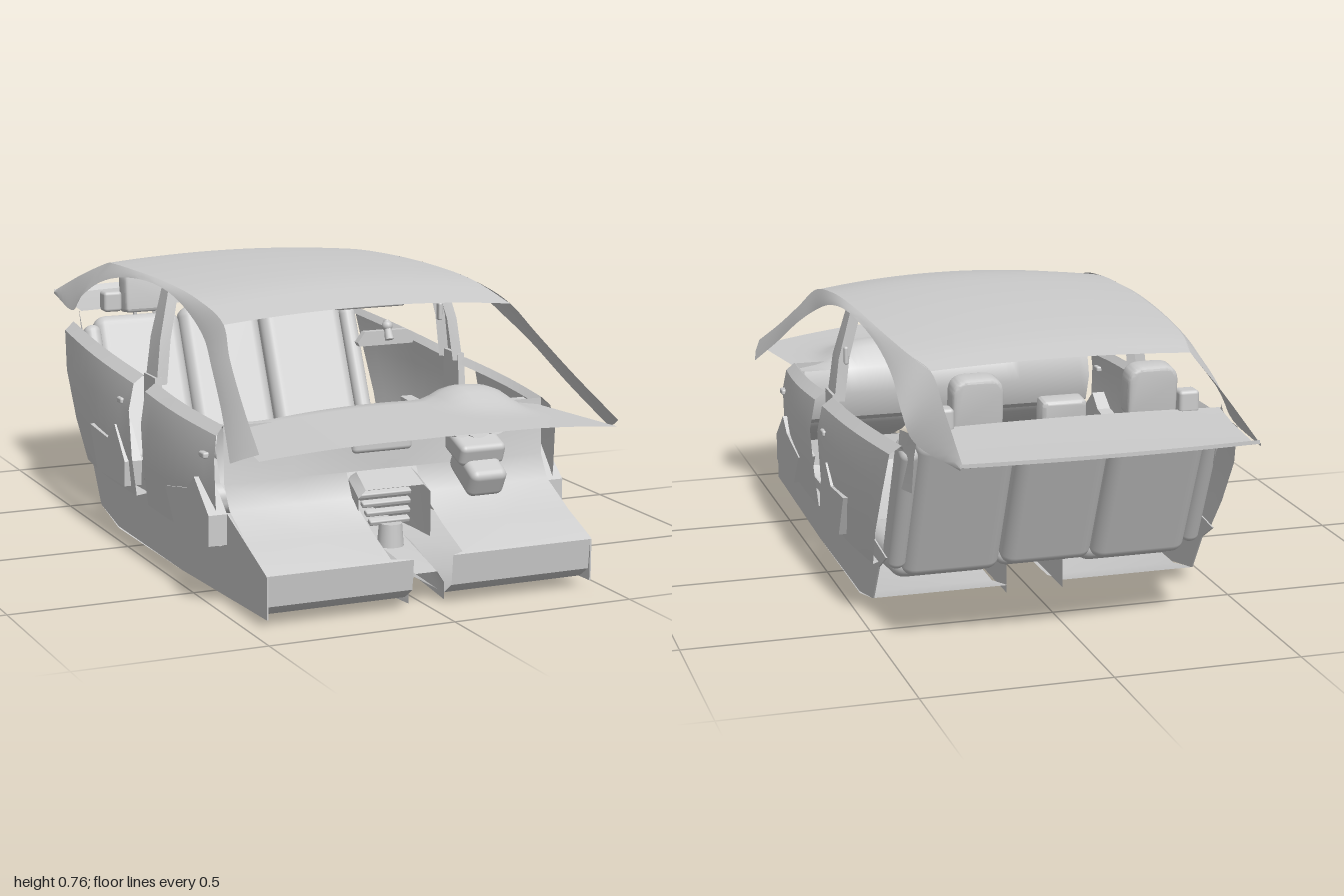
import * as THREE from 'three';
import { toCreasedNormals } from 'three/addons/utils/BufferGeometryUtils.js';
import { RoundedBoxGeometry } from 'three/addons/geometries/RoundedBoxGeometry.js';

const mat = new THREE.MeshStandardMaterial({ color: 0xcccccc, side: THREE.DoubleSide });
const V = (x, y, z) => new THREE.Vector3(x, y, z);
const curve = (pts, n) => new THREE.CatmullRomCurve3(pts.map(p => V(...p)), false, 'centripetal').getPoints(n);

export function createModel() {
  const car = new THREE.Group();
  car.name = 'carCabin';

  const add = (name, geo, pos = [0, 0, 0], rot = [0, 0, 0]) => {
    const m = new THREE.Mesh(geo, mat);
    m.name = name;
    m.position.set(...pos);
    m.rotation.set(...rot);
    car.add(m);
  };

  // Surface through a grid of points, rows of equal length
  const sheet = (name, rows, crease = 0.6) => {
    const w = rows[0].length, index = [];
    for (let i = 0; i < rows.length - 1; i++)
      for (let j = 0; j < w - 1; j++) {
        const a = i * w + j, b = a + w;
        index.push(a, b, a + 1, b, b + 1, a + 1);
      }
    const g = new THREE.BufferGeometry().setFromPoints(rows.flat());
    g.setIndex(index);
    add(name, toCreasedNormals(g, crease));
  };

  // Outline in (z, y), with thickness running inward from |x| = outer
  const plate = (name, side, pts, outer, depth) => {
    const g = new THREE.ExtrudeGeometry(new THREE.Shape(pts.map(p => new THREE.Vector2(...p))),
      { depth, bevelEnabled: false });
    g.rotateY(-Math.PI / 2).translate(side > 0 ? outer : depth - outer, 0, 0);
    add(name, g);
  };

  const box = (name, w, h, d, r, pos, rot) => add(name, new RoundedBoxGeometry(w, h, d, 3, r), pos, rot);

  // Headrest with strongly rounded upper corners, centred on its base
  const headrest = (name, w, h, d, r, pos) => {
    const a = w / 2, s = new THREE.Shape();
    s.moveTo(-a + .012, 0).lineTo(a - .012, 0).quadraticCurveTo(a, 0, a, .015).lineTo(a, h - r)
      .quadraticCurveTo(a, h, a - r, h).lineTo(r - a, h).quadraticCurveTo(-a, h, -a, h - r)
      .lineTo(-a, .015).quadraticCurveTo(-a, 0, -a + .012, 0);
    const g = new THREE.ExtrudeGeometry(s, { depth: d - .02, bevelSize: .01, bevelOffset: -.01, bevelThickness: .01, bevelSegments: 3 });
    add(name, toCreasedNormals(g.translate(0, 0, .01 - d / 2), .6), pos, [-.1, 0, 0]);
  };

  // Upper and lower edges of the side rail, from windscreen foot to tail
  const railTop = [[.495, .46, .93], [.465, .55, .75], [.437, .635, .6], [.412, .7, .5], [.405, .735, .3],
    [.4, .745, .05], [.392, .738, -.25], [.375, .725, -.45], [.35, .708, -.57], [.365, .648, -.76], [.38, .572, -.97]];
  const railLow = [[.53, .42, .83], [.49, .51, .68], [.458, .6, .53], [.435, .655, .42], [.425, .71, .25],
    [.42, .735, .05], [.415, .715, -.25], [.42, .67, -.45], [.43, .61, -.58], [.425, .56, -.66], [.385, .56, -.97]];
  const upper = curve(railTop, 60), lower = curve(railLow, 60);

  // Roof skin with a gentle crown and bowed ends
  const edge = curve(railTop.slice(3, 9), 24);
  sheet('roof', edge.map((p, i) => {
    const t = i / 24, bow = .03 * (1 - t) ** 3 - .015 * t ** 4;
    return Array.from({ length: 21 }, (_, j) => {
      const u = j / 10 - 1;
      return V(u * p.x, p.y + (.026 - .012 * t * t) * (1 - u * u), p.z + bow * (1 - u * u));
    });
  }));
  box('overheadConsole', .2, .014, .08, .006, [0, .727, .46], [.14, 0, 0]);

  for (const s of [1, -1]) {
    const flip = p => V(p.x * s, p.y, p.z);

    // Windscreen pillar, roof rail and rear pillar in one strip
    sheet('sideRail', upper.map((p, i) => {
      const q = lower[i], mid = p.clone().lerp(q, .5);
      mid.x += .004;
      return [flip(p), flip(mid), flip(q)];
    }), 1);

    // Centre pillar
    plate('centrePillarFoot', s, [[.155, .3], [.04, .2], [.05, .5], [.135, .5]], .465, .02);
    sheet('centrePillar', [[.135, .05, .48, .46], [.125, .052, .6, .445], [.1, .05, .735, .41]]
      .map(([z0, z1, y, x]) => [V(s * (x - .03), y, z0), V(s * x, y, z0), V(s * x, y, z1), V(s * (x - .03), y, z1)]));

    // Sill side
    plate('sillSide', s, [[.88, .03], [.88, .14], [.62, .24], [.59, .18], [.05, .18], [.04, .25], [-.5, .2],
      [-.42, .15], [-.35, .04], [-.2, .01], [.3, .01]], .455, .004);

    // Door skins: [y, front z, rear z, x at front, x at rear], upper rows following the rising belt line
    const doors = {
      frontDoor: [[.16, .62, .14, .452, .452], [.155, .62, .14, .475, .49], [.27, .62, .14, .485, .503],
        [.38, .62, .145, .488, .51], [.475, .61, .14, .478, .495], [.497, .6, .14, .455, .465], [.48, .6, .14, .44, .445]],
      rearDoor: [[.165, .05, -.42, .452, .452], [.16, .05, -.42, .49, .47], [.27, .05, -.49, .503, .48],
        [.4, .05, -.57, .51, .48], [.475, .05, -.61, .495, .47], [.497, .05, -.62, .465, .44], [.48, .05, -.6, .445, .43]]
    };
    for (const [name, rows] of Object.entries(doors))
      sheet(name, rows.map(([y, z0, z1, x0, x1], r) => Array.from({ length: 9 }, (_, j) => {
        const t = j / 8, z = z0 + (z1 - z0) * t;
        return V(s * (x0 + (x1 - x0) * t + .01 * Math.sin(Math.PI * t)), y - (r > 3 ? .058 * z : 0), z);
      })));

    // Armrest pockets and door handles
    plate('frontArmrest', s, [[.63, .16], [.63, .24], [.53, .32], [.48, .28], [.32, .25], [.39, .155]], .508, .05);
    plate('rearArmrest', s, [[.015, .18], [.02, .25], [-.06, .34], [-.12, .29], [-.27, .3], [-.21, .18]], .513, .05);
    box('frontHandle', .025, .016, .035, .005, [s * .492, .385, .57]);
    box('rearHandle', .025, .016, .035, .005, [s * .502, .415, -.02]);

    // Footwell: firewall, toe board, front step and floor as one sheet
    const inner = s > 0 ? .085 : .115;
    const well = [[.46, .6, 0], [.311, .605, 0], [.31, .605, inner], [.25, .64, inner], [.19, .76, inner],
      [.145, .872, inner], [.14, .88, .055], [.06, .872, .055], [.03, .83, .055], [.01, .3, .07], [.005, -.2, .08],
      [.04, -.35, .08]];
    sheet('footwell', well.map(([y, z, x]) => [V(s * x, y, z), V(s * .26, y, z), V(s * .455, y, z)]), .7);

    // Outer rear seat
    box('rearCushion', .29, .09, .38, .04, [s * .26, .12, -.18], [.08, 0, 0]);
    box('rearBackrest', .265, .46, .08, .035, [s * .262, .335, -.495], [-.42, 0, 0]);
    box('rearBolster', .05, .4, .09, .024, [s * .41, .34, -.485], [-.42, 0, 0]);
    headrest('rearHeadrest', .135, .133, .065, .045, [s * .235, .558, -.57]);
    for (const dx of [-.03, .03])
      add('headrestPost', new THREE.CylinderGeometry(.006, .006, .08, 8), [s * .235 + dx, .54, -.57]);

    // Trim beside the parcel shelf
    box('quarterTrim', .055, .06, .05, .01, [s * .33, .59, -.6]);
    sheet('quarterPanel', [[.565, -.58, -.66], [.5, -.56, -.625], [.4, -.53, -.6]]
      .map(([y, z0, z1]) => [V(s * .435, y, z0), V(s * .41, y, z1)]));
    box('seatBeltGuide', .012, .05, .025, .005, [s * .425, .61, .055]);
  }

  // Centre rear seat
  box('centreCushion', .23, .09, .38, .03, [0, .13, -.18], [.08, 0, 0]);
  box('centreBackrest', .25, .46, .08, .035, [0, .345, -.505], [-.42, 0, 0]);
  headrest('centreHeadrest', .12, .105, .06, .015, [0, .508, -.555]);

  // Parcel shelf with a curved tail lip
  const shelf = [[.565, -.605, .42, 0], [.56, -.75, .4, 0], [.56, -.95, .38, .03], [.575, -.965, .385, .035], [.565, -.965, .385, .035]];
  sheet('parcelShelf', shelf.map(([y, z, w, bow]) => Array.from({ length: 13 }, (_, j) => {
    const u = j / 6 - 1;
    return V(u * w, y + .006 * (1 - u * u), z - bow * (1 - u * u));
  })));

  // Dashboard top reaching to the windscreen foot, with an instrument hump, then the rolled face
  const N = 33;
  const dash = Array.from({ length: 13 }, (_, i) => Array.from({ length: N }, (_, j) => {
    const t = i / 12, u = 2 * j / (N - 1) - 1, x = u * (.495 - .055 * t);
    const front = 1 - .07 * Math.max(0, (Math.abs(x) - .1) / .4), z = front + (.57 - front) * t;
    const hump = .048 * Math.exp(-(((x - .24) / .1) ** 4) - ((z - .62) / .1) ** 2);
    return V(x, .478 - .035 * u * u + hump, z);
  }));
  for (const [y, z] of [[.45, .53], [.38, .51], [.3, .54], [.27, .61]])
    dash.push(Array.from({ length: N }, (_, j) => V((2 * j / (N - 1) - 1) * .44, y, z)));
  sheet('dashboard', dash, .8);

  // Instruments, vent housing and steering column ahead of the firewall
  for (const [x, r] of [[.185, .042], [.235, .047], [.285, .042]])
    add('instrumentHousing', new THREE.CylinderGeometry(r, r * .75, .06, 20), [x, .42, .63], [Math.PI / 2 - .3, 0, 0]);
  box('ventHousing', .09, .035, .05, .012, [.39, .4, .605]);
  box('radioHousing', .17, .075, .04, .012, [-.015, .395, .595]);
  box('columnShroud', .13, .06, .12, .015, [.235, .36, .64], [.35, 0, 0]);
  box('steeringColumn', .105, .08, .14, .02, [.235, .3, .665], [.5, 0, 0]);

  // Tunnel, open underneath, and the centre stack
  sheet('tunnel', [[.84, .09, .05], [.6, .13, .08], [.1, .14, .08], [-.34, .15, .08]].map(([z, y, w]) =>
    [[-w, .015], [-w, y - .03], [-w * .6, y], [w * .6, y], [w, y - .03], [w, .015]].map(([x, v]) => V(x, v, z))));
  const stack = (z, x0, x1, y) => [V(x0, .14, z), V(x0, y - .02, z), V(x0 + .02, y, z), V(x1 - .02, y, z), V(x1, y - .02, z), V(x1, .14, z)];
  sheet('centreStack', [stack(.69, -.12, .085, .28), stack(.61, -.11, .085, .31), stack(.45, -.09, .08, .24), stack(.1, -.08, .08, .2)]);
  for (let i = 0; i < 4; i++)
    box('stackSlat', .15 - i * .012, .014, .02, .004, [-.015, .25 - i * .022, .62 + i * .01], [.4, 0, 0]);
  add('shifterBoot', new THREE.CylinderGeometry(.03, .035, .06, 16), [-.015, .15, .66]);

  // Rear-view mirror
  const mirror = new THREE.Shape([[-.075, .635], [.075, .635], [.08, .645], [.06, .672], [-.06, .672], [-.08, .645]]
    .map(p => new THREE.Vector2(...p)));
  add('mirror', new THREE.ExtrudeGeometry(mirror, { depth: .02, bevelEnabled: false }), [0, 0, .575]);
  add('mirrorStalk', new THREE.CylinderGeometry(.008, .012, .05, 12), [0, .675, .605], [-.4, 0, 0]);
  add('mirrorBall', new THREE.SphereGeometry(.014, 14, 10), [0, .685, .6]);

  return car;
}
